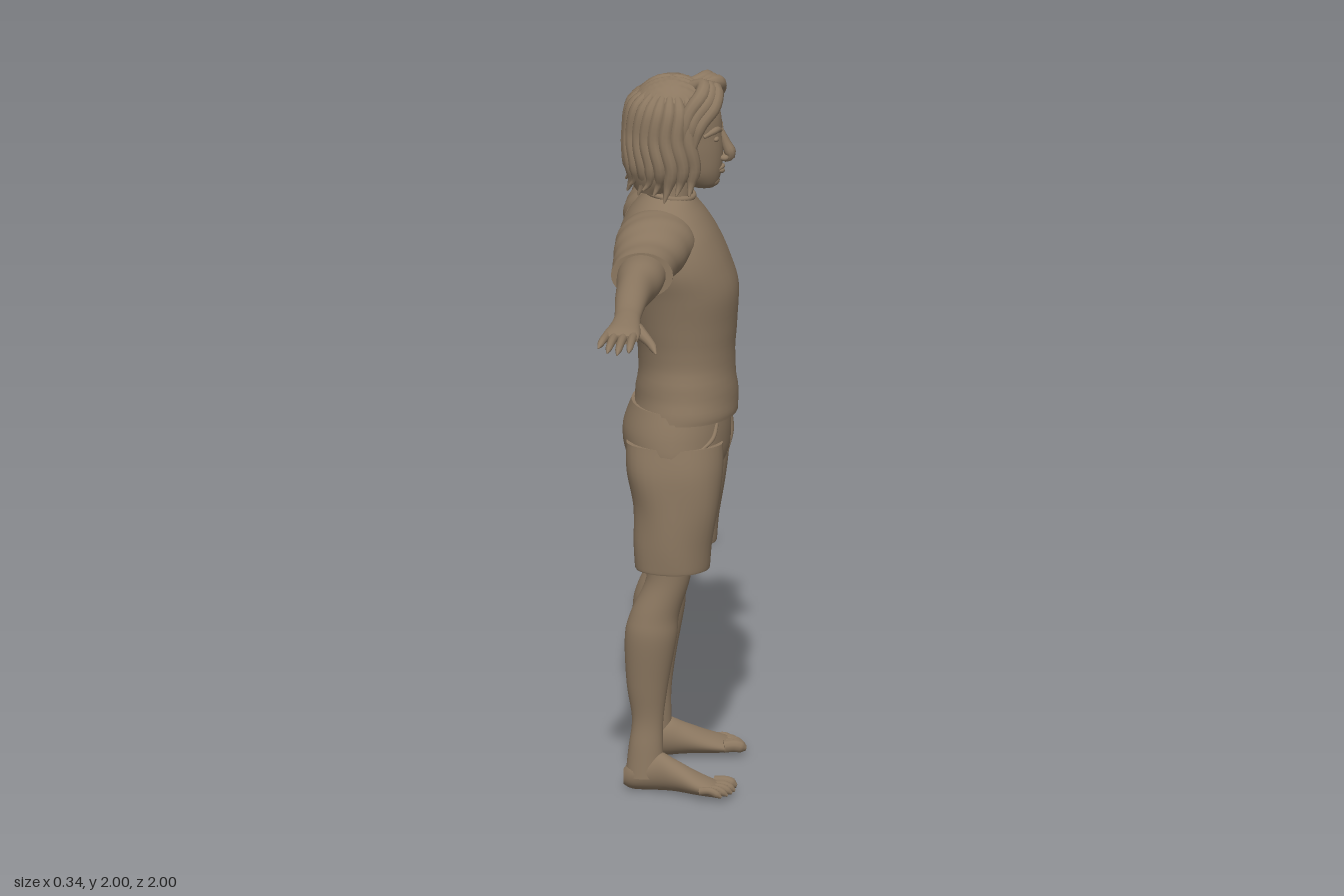
import * as THREE from 'three';

const V = (x, y, z) => new THREE.Vector3(x, y, z);
const SEG = 32;

// Skin a list of point rings into a closed solid that always faces outwards.
function skin(rings) {
  const n = rings[0].length, pos = [], idx = [];
  const put = (p) => pos.push(p.x, p.y, p.z) / 3 - 1;
  rings.forEach((r) => r.forEach(put));
  for (let i = 0; i < rings.length - 1; i++) {
    for (let j = 0; j < n; j++) {
      const a = i * n + j, b = i * n + (j + 1) % n;
      idx.push(a, b, a + n, b, b + n, a + n);
    }
  }
  [[rings[0], true], [rings[rings.length - 1], false]].forEach(([r, first]) => {
    const mid = r.reduce((s, p) => s.add(p), V(0, 0, 0)).divideScalar(n);
    const c = put(mid), ids = r.map(put);
    ids.forEach((id, j) => {
      const next = ids[(j + 1) % n];
      if (first) idx.push(c, next, id); else idx.push(c, id, next);
    });
  });
  // A negative volume means the corners run the wrong way round
  const at = (i) => V(pos[i * 3], pos[i * 3 + 1], pos[i * 3 + 2]);
  let vol = 0;
  for (let i = 0; i < idx.length; i += 3) vol += at(idx[i]).dot(at(idx[i + 1]).cross(at(idx[i + 2])));
  if (vol < 0) idx.reverse();
  const g = new THREE.BufferGeometry();
  g.setAttribute('position', new THREE.Float32BufferAttribute(pos, 3));
  g.setIndex(idx);
  g.computeVertexNormals();
  return g;
}

// Elliptic sections [t, c1, c2, r1, r2] along an axis, smoothly interpolated.
// y: c = x,z   x: c = y,z   z: c = x,y.  bump(angle, t) scales the radius.
function loft(axis, secs, side = 1, bump = () => 1, steps = 6) {
  const rings = [], last = secs.length - 1;
  const curve = (k, i, f) => {
    const p = [-1, 0, 1, 2].map((d) => secs[Math.min(last, Math.max(0, i + d))][k]);
    return p[1] + 0.5 * f * (p[2] - p[0] + f * (2 * p[0] - 5 * p[1] + 4 * p[2] - p[3]
      + f * (3 * (p[1] - p[2]) + p[3] - p[0])));
  };
  for (let s = 0; s <= last * steps; s++) {
    const i = Math.min(last - 1, Math.floor(s / steps)), f = s / steps - i;
    const [t, c1, c2, r1, r2] = [0, 1, 2, 3, 4].map((k) => curve(k, i, f));
    rings.push(Array.from({ length: SEG }, (_, j) => {
      const a = j / SEG * Math.PI * 2, b = bump(a, t);
      const u = c1 + r1 * b * Math.cos(a), w = c2 + r2 * b * Math.sin(a);
      if (axis === 'y') return V(side * u, t, w);
      return axis === 'x' ? V(side * t, u, w) : V(side * u, w, t);
    }));
  }
  return skin(rings);
}

// Round strand through points, with a radius that follows the list given.
function strand(points, radii, side = 1, steps = 14, n = 10) {
  const path = new THREE.CatmullRomCurve3(points.map(([x, y, z]) => V(side * x, y, z)));
  const { normals, binormals } = path.computeFrenetFrames(steps);
  const rings = [];
  for (let i = 0; i <= steps; i++) {
    const c = path.getPointAt(i / steps), q = i / steps * (radii.length - 1);
    const k = Math.min(radii.length - 2, Math.floor(q));
    const r = THREE.MathUtils.lerp(radii[k], radii[k + 1], q - k);
    rings.push(Array.from({ length: n }, (_, j) => {
      const a = j / n * Math.PI * 2;
      return c.clone().addScaledVector(normals[i], r * Math.cos(a)).addScaledVector(binormals[i], r * Math.sin(a));
    }));
  }
  return skin(rings);
}

const ball = (x, y, z, rx, ry, rz) => new THREE.SphereGeometry(1, 16, 12).scale(rx, ry, rz).translate(x, y, z);

export function createModel() {
  const clay = new THREE.MeshStandardMaterial({ color: 0x8b7760 });
  clay.name = 'clay brown';
  const model = new THREE.Group(), figure = new THREE.Group();
  model.name = 'standingMan';
  figure.name = 'figure';
  figure.rotation.y = Math.PI / 2; // the figure looks along +x
  model.add(figure);
  const add = (name, geo) => {
    const m = new THREE.Mesh(geo, clay);
    m.name = name;
    figure.add(m);
  };
  const pair = (name, make) => [[1, 'Left'], [-1, 'Right']].forEach(([s, w]) => add(name + w, make(s)));
  let seed = 7;
  const rnd = () => (seed = (seed * 16807) % 2147483647) / 2147483647;

  // Shirt with soft folds near the hem and a shallow groove down the chest
  add('shirt', loft('y', [[1.045, 0, 0.012, 0.182, 0.146], [1.08, 0, 0.018, 0.177, 0.142],
    [1.2, 0, 0.018, 0.158, 0.133], [1.3, 0, 0.012, 0.167, 0.145], [1.4, 0, 0.005, 0.184, 0.157],
    [1.48, 0, -0.015, 0.2, 0.153], [1.55, 0, -0.03, 0.19, 0.135], [1.6, 0, -0.035, 0.15, 0.11],
    [1.635, 0, -0.035, 0.11, 0.085], [1.665, 0, -0.03, 0.066, 0.06]], 1, (a, y) => {
    const fold = 0.012 * Math.sin(y * 75 + 3 * Math.cos(a)) * Math.max(0, 1 - Math.abs(y - 1.13) / 0.14);
    const groove = 0.03 * Math.exp(-(((Math.abs(a - Math.PI / 2)) / 0.2) ** 2) - ((y - 1.45) / 0.09) ** 2);
    const spine = 0.05 * Math.exp(-(((a - Math.PI * 1.5) / 0.25) ** 2) - ((y - 1.35) / 0.15) ** 2);
    return 1 + fold - groove - spine;
  }));
  add('collar', new THREE.TorusGeometry(0.066, 0.008, 10, 32).rotateX(Math.PI / 2 + 0.15).translate(0, 1.662, -0.028));
  pair('sleeve', (s) => loft('x', [[0.06, 1.56, -0.055, 0.075, 0.1], [0.13, 1.555, -0.057, 0.085, 0.108],
    [0.2, 1.55, -0.065, 0.083, 0.1], [0.28, 1.54, -0.075, 0.071, 0.087], [0.36, 1.54, -0.075, 0.066, 0.084],
    [0.378, 1.54, -0.075, 0.065, 0.084]], s, (a, t) => 1 + 0.012 * Math.sin(t * 80 + 2 * a)));

  // Arms run into flat palms
  pair('arm', (s) => loft('x', [[0.32, 1.54, -0.075, 0.054, 0.066], [0.42, 1.54, -0.077, 0.06, 0.064],
    [0.5, 1.536, -0.085, 0.056, 0.051], [0.6, 1.537, -0.088, 0.039, 0.044], [0.7, 1.53, -0.088, 0.027, 0.037],
    [0.75, 1.528, -0.088, 0.024, 0.037], [0.8, 1.523, -0.09, 0.024, 0.043], [0.85, 1.519, -0.095, 0.021, 0.051],
    [0.885, 1.516, -0.098, 0.013, 0.05]], s));
  [[-0.062, -0.066, 0.978], [-0.086, -0.096, 1], [-0.11, -0.124, 0.985], [-0.133, -0.152, 0.945]].forEach(([z0, z1, tip], i) => {
    pair('finger' + (i + 1), (s) => strand([[0.855, 1.519, z0], [0.91, 1.519, (z0 + z1) / 2], [tip - 0.002, 1.508, z1]],
      [0.013, 0.0125, 0.0115, 0.0105, 0.009, 0.002], s));
  });
  pair('thumb', (s) => strand([[0.765, 1.52, -0.075], [0.815, 1.503, -0.035], [0.85, 1.49, -0.012], [0.887, 1.477, 0.002]],
    [0.02, 0.021, 0.016, 0.013, 0.011, 0.002], s));

  // Knee-length shorts
  add('shortsSeat', loft('y', [[1.075, 0, 0.002, 0.172, 0.134], [1.0, 0, -0.008, 0.193, 0.148],
    [0.93, 0, -0.007, 0.197, 0.14], [0.88, 0, -0.005, 0.15, 0.11], [0.855, 0, 0, 0.05, 0.06]]));
  pair('shortsLeg', (s) => loft('y', [[0.98, 0.1, -0.008, 0.094, 0.132], [0.9, 0.111, -0.007, 0.1, 0.132],
    [0.8, 0.122, -0.001, 0.094, 0.116], [0.7, 0.125, -0.01, 0.092, 0.107], [0.64, 0.125, -0.012, 0.09, 0.103],
    [0.628, 0.125, -0.012, 0.088, 0.101]], s, (a, y) => 1 + 0.012 * Math.sin(5 * a + y * 20)));
  add('fly', strand([[0, 1.05, 0.132], [0.012, 0.98, 0.138], [0, 0.92, 0.128]], [0.01, 0.009, 0.004]));
  pair('pocketEdge', (s) => strand([[0.1, 1.05, 0.11], [0.135, 1.0, 0.1], [0.18, 0.965, 0.055]], [0.006, 0.006, 0.004], s));

  // Bare legs, feet and toes
  pair('leg', (s) => loft('y', [[0.7, 0.13, -0.018, 0.063, 0.066], [0.6, 0.13, -0.022, 0.06, 0.06],
    [0.5, 0.137, -0.058, 0.062, 0.067], [0.43, 0.142, -0.069, 0.062, 0.071], [0.3, 0.143, -0.078, 0.047, 0.057],
    [0.2, 0.147, -0.077, 0.033, 0.043], [0.12, 0.152, -0.082, 0.036, 0.047], [0.04, 0.156, -0.085, 0.04, 0.052]], s));
  pair('foot', (s) => loft('z', [[-0.142, 0.153, 0.035, 0.018, 0.022], [-0.115, 0.153, 0.043, 0.036, 0.042],
    [-0.05, 0.158, 0.055, 0.04, 0.054], [0, 0.17, 0.046, 0.045, 0.043], [0.06, 0.189, 0.031, 0.054, 0.029],
    [0.11, 0.202, 0.021, 0.054, 0.019], [0.13, 0.205, 0.017, 0.046, 0.012]], s));
  for (let i = 0; i < 5; i++) {
    const x = [0.165, 0.194, 0.215, 0.234, 0.251][i], r = [0.018, 0.013, 0.012, 0.011, 0.011][i], z = 0.168 - i * i * 0.0022;
    pair('toe' + (i + 1), (s) => strand([[x - 0.005, 0.026, z - 0.06], [x, 0.028, z - 0.03], [x + 0.003, r + 0.001, z]],
      [r, r, r, r, r * 0.9, r * 0.3], s));
  }

  // Neck, head and face
  add('neck', loft('y', [[1.6, 0, -0.035, 0.07, 0.065], [1.68, 0, -0.022, 0.058, 0.06], [1.76, 0, -0.01, 0.056, 0.062]]));
  add('head', loft('y', [[1.68, 0, 0.065, 0.022, 0.028], [1.695, 0, 0.053, 0.042, 0.052], [1.73, 0, 0.03, 0.066, 0.084],
    [1.78, 0, 0.01, 0.079, 0.108], [1.83, 0, 0, 0.085, 0.116], [1.9, 0, -0.008, 0.087, 0.117],
    [1.96, 0, -0.015, 0.06, 0.085], [1.98, 0, -0.015, 0.02, 0.03]]));
  add('nose', strand([[0, 1.845, 0.11], [0, 1.805, 0.126], [0, 1.77, 0.138], [0, 1.757, 0.12]], [0.008, 0.012, 0.017, 0.008]));
  pair('nostril', (s) => ball(s * 0.014, 1.766, 0.122, 0.011, 0.009, 0.013));
  pair('brow', (s) => strand([[0.012, 1.845, 0.111], [0.04, 1.853, 0.102], [0.068, 1.84, 0.07]], [0.007, 0.01, 0.005], s));
  pair('eye', (s) => ball(s * 0.034, 1.826, 0.101, 0.015, 0.008, 0.009));
  add('upperLip', strand([[-0.028, 1.734, 0.104], [0, 1.739, 0.117], [0.028, 1.734, 0.104]], [0.002, 0.007, 0.002]));
  add('lowerLip', strand([[-0.025, 1.731, 0.104], [0, 1.726, 0.115], [0.025, 1.731, 0.104]], [0.002, 0.008, 0.002]));
  add('chin', ball(0, 1.699, 0.088, 0.026, 0.018, 0.021));

  // Hair cap, drawn back from the face below the hairline
  const cap = new THREE.SphereGeometry(1, 64, 32), p = cap.attributes.position;
  for (let i = 0; i < p.count; i++) {
    const v = V(p.getX(i), p.getY(i), p.getZ(i));
    const ridge = 1 + 0.015 * Math.sin(v.x * 38) * Math.max(0, v.y + 0.5);
    const face = THREE.MathUtils.smoothstep(v.z, 0, 0.5) * (1 - THREE.MathUtils.smoothstep(v.y, 0.4, 0.65));
    p.setXYZ(i, v.x * 0.123 * ridge, 1.862 + v.y * 0.133 * ridge, -0.02 + v.z * 0.128 * ridge * (1 - 0.5 * face));
  }
  cap.computeVertexNormals();
  add('hairCap', cap);
  add('hairBack', loft('y', [[1.89, 0, -0.05, 0.118, 0.09], [1.8, 0, -0.052, 0.122, 0.09], [1.73, 0, -0.058, 0.115, 0.078],
    [1.68, 0, -0.07, 0.09, 0.055]], 1, (a, y) => 1 + 0.025 * Math.sin(9 * a + y * 25)));

  // Wavy locks fall round the sides and back; swept fringe at the front
  for (let i = 0; i < 9; i++) {
    pair('lock' + (i + 1), (s) => {
      const a = 1.0 + i * 0.25 + rnd() * 0.1, out = 0.118 + rnd() * 0.012, end = 1.665 + rnd() * 0.035;
      const at = (r, y, da = 0) => [r * Math.sin(a + da), y, -0.022 + r * Math.cos(a + da)];
      return strand([at(0.06, 1.965), at(0.108, 1.92), at(0.118, 1.84, 0.08), at(0.119, 1.76, -0.06), at(out - 0.012, 1.715), at(out, end, 0.1)],
        [0.008, 0.018, 0.02, 0.021, 0.018, 0.003], s, 20);
    });
  }
  for (let i = 0; i < 3; i++) {
    const d = i * 0.016;
    pair('fringe' + (i + 1), (s) => strand([[0.008, 1.962, 0.04 - d], [0.035, 1.968 + d * 0.3, 0.098 - d], [0.075, 1.932 + d, 0.098 - d],
      [0.102, 1.88 + d, 0.062 - d], [0.112, 1.81, 0.045 - d]], [0.012, 0.021, 0.021, 0.018, 0.004], s, 20));
  }
  return model;
}
